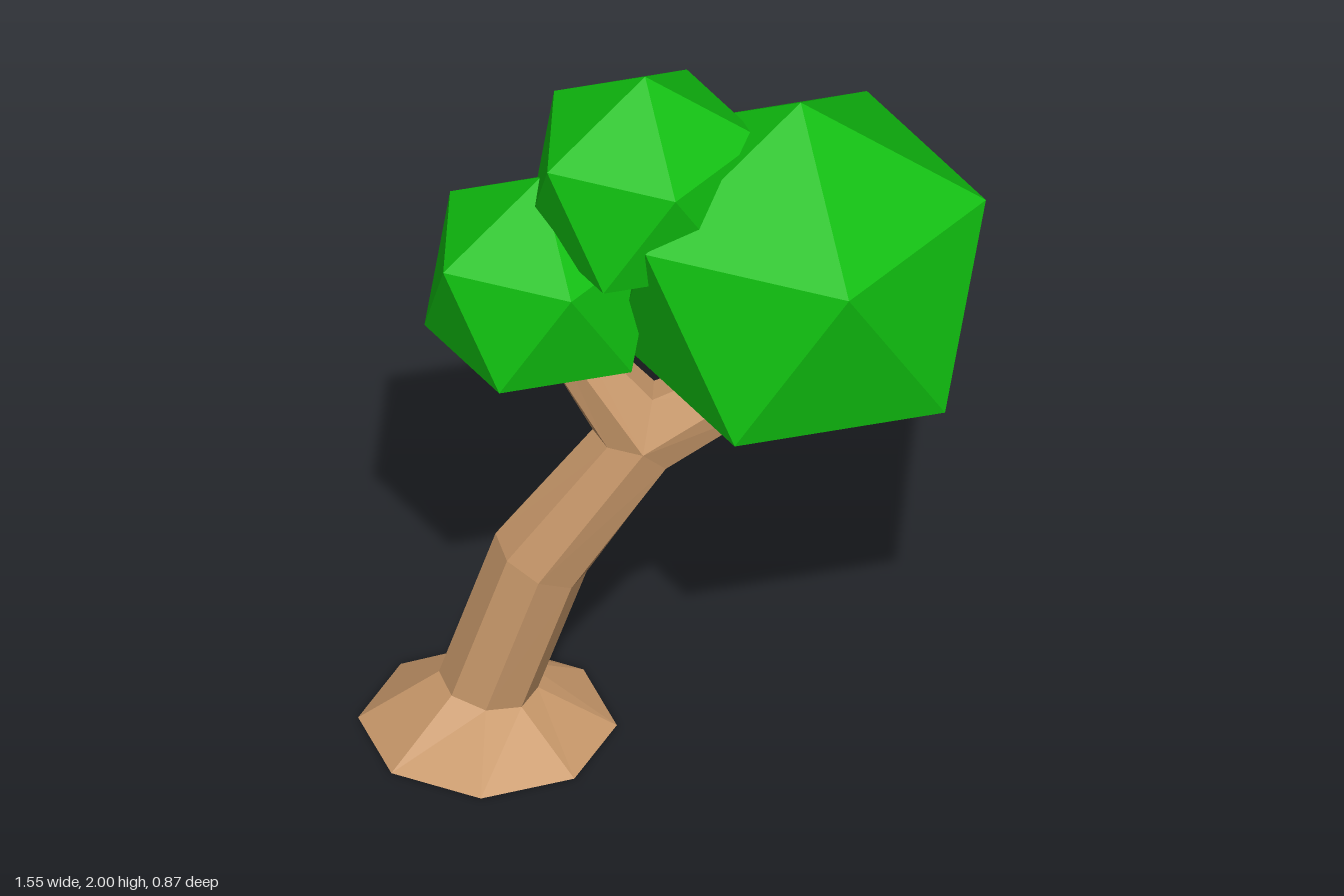
import * as THREE from 'three';

const bark = new THREE.MeshStandardMaterial({ color: 0xc8986a, flatShading: true, side: THREE.DoubleSide });
const leaf = new THREE.MeshStandardMaterial({ color: 0x10c010, flatShading: true });

// Close a front half-profile into a full ring by mirroring it in z
const mirrorRing = (half) => [
  ...half,
  ...half.filter((p) => p[2] > 0).reverse().map(([x, y, z]) => [x, y, -z]),
];

// Tilted eight-sided ring between a left and a right point
function octagon([xl, yl], [xr, yr], depth) {
  const half = [];
  for (let i = 0; i <= 4; i++) {
    const t = (1 - Math.cos((i * Math.PI) / 4)) / 2;
    const z = i % 4 ? depth * Math.sin((i * Math.PI) / 4) : 0;
    half.push([xl + (xr - xl) * t, yl + (yr - yl) * t, z]);
  }
  return mirrorRing(half);
}

// Skin a list of rings with equal point counts
function loft(name, rings) {
  const pos = [];
  for (let r = 0; r < rings.length - 1; r++) {
    const a = rings[r], b = rings[r + 1], n = a.length;
    for (let i = 0; i < n; i++) {
      const j = (i + 1) % n;
      pos.push(...a[i], ...a[j], ...b[j], ...a[i], ...b[j], ...b[i]);
    }
  }
  const geo = new THREE.BufferGeometry();
  geo.setAttribute('position', new THREE.Float32BufferAttribute(pos, 3));
  geo.computeVertexNormals();
  const mesh = new THREE.Mesh(geo, bark);
  mesh.name = name;
  return mesh;
}

// Leaf clump: icosahedron standing on one corner
function clump(name, x, y, radius) {
  const geo = new THREE.IcosahedronGeometry(radius, 0);
  geo.rotateZ(-Math.atan(2 / (1 + Math.sqrt(5))));
  const mesh = new THREE.Mesh(geo, leaf);
  mesh.position.set(x, y, 0);
  mesh.name = name;
  return mesh;
}

export function createModel() {
  const tree = new THREE.Group();
  tree.name = 'tree';

  // Flared foot, open underneath
  const collar = octagon([-0.58, 0.15], [-0.335, 0.11], 0.13);
  tree.add(loft('rootFlare', [octagon([-0.78, 0], [-0.14, 0], 0.32), collar]));

  // Leaning trunk up to the fork
  const outerLeft = [[-0.2, 0.91, 0], [-0.16, 0.91, 0.075]];
  const outerRight = [[-0.015, 0.85, 0.075], [0, 0.83, 0]];
  const side = [-0.07, 0.91, 0.105];
  const saddle = [-0.05, 1.035, 0.04];
  tree.add(loft('trunk', [
    collar,
    octagon([-0.44, 0.58], [-0.215, 0.47], 0.13),
    mirrorRing([...outerLeft, side, ...outerRight]),
  ]));

  // Two branches sharing the saddle of the fork
  tree.add(loft('rightBranch', [
    mirrorRing([...outerLeft, side, saddle]),
    mirrorRing([[-0.345, 1.19, 0], [-0.33, 1.2, 0.045], [-0.29, 1.235, 0.06], [-0.255, 1.265, 0.025]]),
  ]));
  tree.add(loft('leftBranch', [
    mirrorRing([saddle, side, ...outerRight]),
    mirrorRing([[0.15, 1.14, 0.03], [0.19, 1.09, 0.07], [0.235, 1.03, 0.05], [0.25, 1.015, 0]]),
  ]));

  // Foliage
  tree.add(clump('largeFoliage', 0.315, 1.423, 0.512));
  tree.add(clump('topFoliage', -0.07, 1.677, 0.323));
  tree.add(clump('lowFoliage', -0.328, 1.359, 0.322));
  return tree;
}
